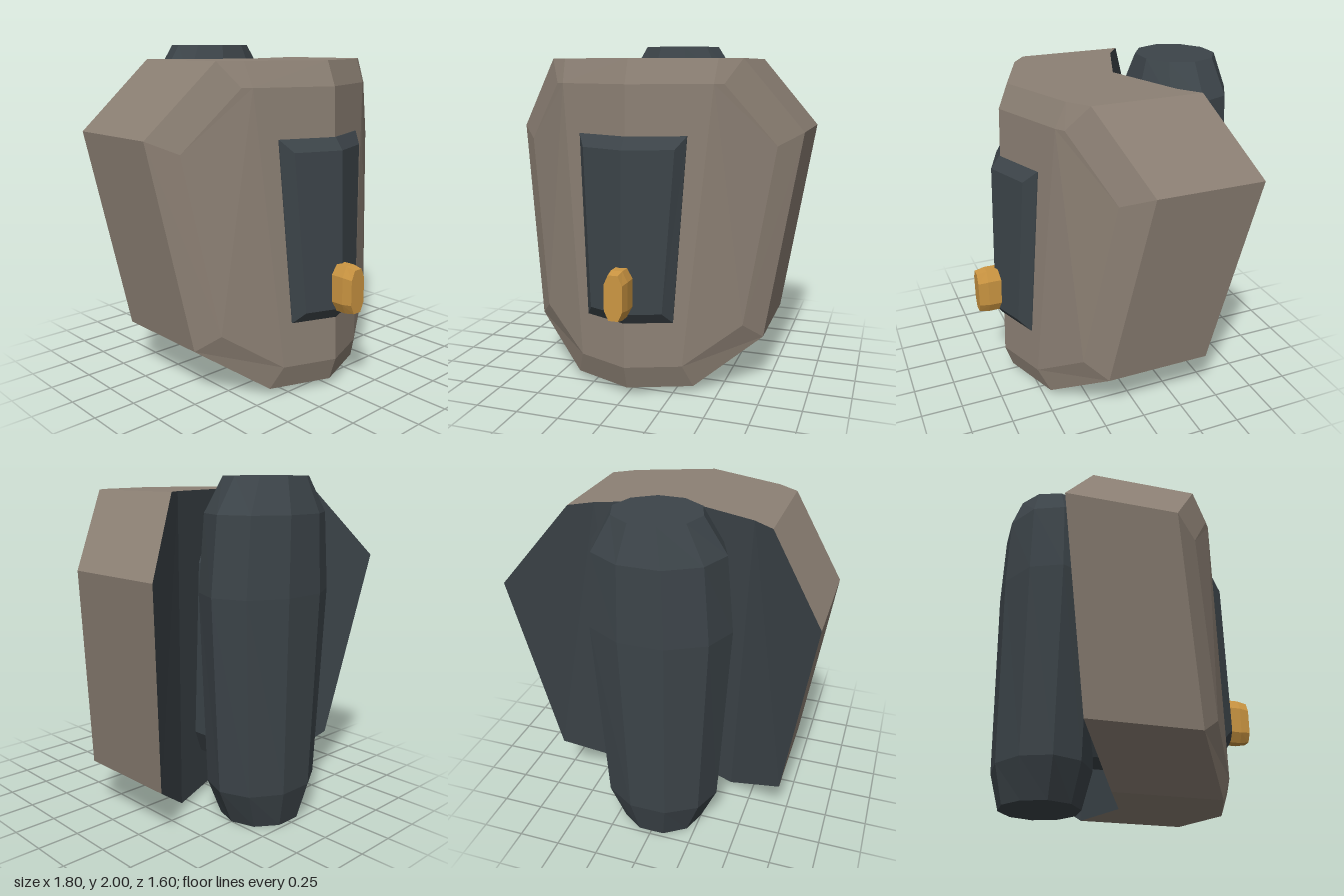
import * as THREE from 'three';

// Builds a left/right symmetric solid from half outlines (top centre, down the +x side, to bottom centre).
// rings run from back to front; material 0 covers sides and front, material 1 covers the back.
function symmetricLoft(rings) {
  const shell = [], back = [];
  const tri = (out, a, b, c) => {
    out.push(...a, ...b, ...c);
    const m = (p) => [-p[0], p[1], p[2]];
    out.push(...m(a), ...m(c), ...m(b));
  };
  const n = rings[0].length;
  for (let r = 0; r < rings.length - 1; r++) {
    const a = rings[r], b = rings[r + 1];
    for (let i = 0; i < n - 1; i++) {
      tri(shell, a[i], b[i], b[i + 1]);
      tri(shell, a[i], b[i + 1], a[i + 1]);
    }
  }
  // caps: a folded centre strip plus a fan on the outer wing
  const cap = (p, out, front) => {
    const faces = [[0, 1, n - 2], [0, n - 2, n - 1]];
    for (let i = 2; i < n - 2; i++) faces.push([1, i, i + 1]);
    for (const [i, j, k] of faces) {
      if (front) tri(out, p[i], p[k], p[j]);
      else tri(out, p[i], p[j], p[k]);
    }
  };
  cap(rings[rings.length - 1], shell, true);
  cap(rings[0], back, false);
  const g = new THREE.BufferGeometry();
  g.setAttribute('position', new THREE.Float32BufferAttribute([...shell, ...back], 3));
  g.addGroup(0, shell.length / 3, 0);
  g.addGroup(shell.length / 3, back.length / 3, 1);
  g.computeVertexNormals();
  return g;
}

// Swept-back depth of the shell at a given x and y
function shellZ(x, y) {
  const fold = x < 0.46 ? 0.54 - 0.39 * x : 0.36 - 0.75 * (x - 0.46);
  return fold + 0.032 * (1.92 - y);
}

const onShell = (half, offset) => half.map(([x, y]) => [x, y, shellZ(x, y) + offset]);
const atZ = (half, z) => half.map(([x, y]) => [x, y, z]);

export function createModel() {
  const group = new THREE.Group();
  const taupe = new THREE.MeshStandardMaterial({ color: 0x8c8074, flatShading: true });
  const slate = new THREE.MeshStandardMaterial({ color: 0x3c4449, flatShading: true });
  const amber = new THREE.MeshStandardMaterial({ color: 0xcc9642, flatShading: true });
  taupe.name = 'taupe';
  slate.name = 'slate';
  amber.name = 'amber';
  const add = (name, geometry, material) => {
    const mesh = new THREE.Mesh(geometry, material);
    mesh.name = name;
    group.add(mesh);
    return mesh;
  };

  // Folded shell with a bevelled front and a dark back
  const rim = [[0, 1.92], [0.46, 1.92], [0.58, 1.92], [0.9, 1.5], [0.72, 0.3], [0.36, 0.04], [0, 0.04]];
  const inner = [[0, 1.78], [0.45, 1.78], [0.5, 1.78], [0.77, 1.43], [0.62, 0.4], [0.31, 0.18], [0, 0.18]];
  add('shell', symmetricLoft([onShell(rim, -0.64), onShell(rim, 0), onShell(inner, 0.05)]), [taupe, slate]);

  // Raised tapering panel on the front
  const panelRim = [[0, 1.5], [0.32, 1.5], [0.26, 0.445], [0, 0.445]];
  const panelInner = [[0, 1.43], [0.27, 1.43], [0.215, 0.51], [0, 0.51]];
  add('frontPanel', symmetricLoft([
    onShell(panelRim, -0.05), onShell(panelRim, 0.056), onShell(panelInner, 0.105),
  ]), [slate, slate]);

  // Small latch on the panel
  const latch = [[0, 0.78], [0.033, 0.78], [0.063, 0.72], [0.063, 0.56], [0.033, 0.5], [0, 0.5]];
  const latchFront = latch.map(([x, y]) => [x * 0.85, 0.64 + (y - 0.64) * 0.92]);
  add('latch', symmetricLoft([atZ(latch, 0.63), atZ(latch, 0.74), atZ(latchFront, 0.8)]), [amber, amber]);

  // Block joining the shell to the tank
  const block = [[0, 1.65], [0.12, 1.65], [0.2, 1.5], [0.2, 0.45], [0.12, 0.3], [0, 0.3]];
  add('connector', symmetricLoft([atZ(block, -0.5), atZ(block, -0.06)]), [slate, slate]);

  // Ten-sided oval tank behind the shell
  const profile = [[0, 0], [0.25, 0], [0.35, 0.22], [0.42, 1.36], [0.38, 1.8], [0.25, 2], [0, 2]]
    .map(([r, y]) => new THREE.Vector2(r, y));
  const tankGeometry = new THREE.LatheGeometry(profile, 10, Math.PI / 2);
  const p = tankGeometry.attributes.position;
  // flatten front to back, less so toward the narrow ends
  for (let i = 0; i < p.count; i++) {
    const r = Math.hypot(p.getX(i), p.getZ(i));
    p.setZ(i, p.getZ(i) * (0.94 - 0.19 * THREE.MathUtils.clamp((r - 0.25) / 0.17, 0, 1)));
  }
  tankGeometry.computeVertexNormals();
  add('tank', tankGeometry, slate).position.z = -0.5;

  return group;
}
